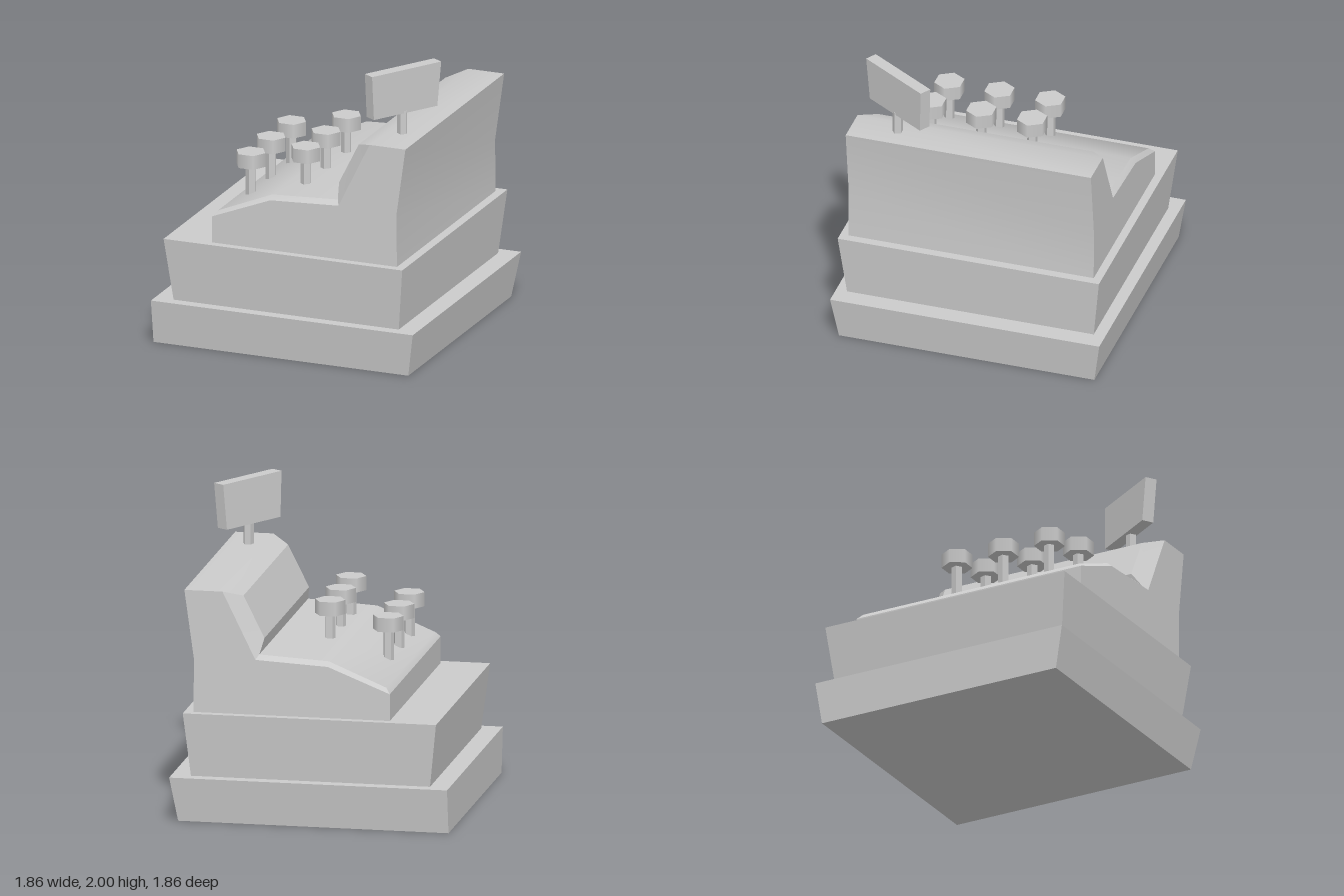
import * as THREE from 'three';
import { toCreasedNormals } from 'three/addons/utils/BufferGeometryUtils.js';

const material = new THREE.MeshStandardMaterial({ color: 0xcccccc });

function part(parent, name, geometry, x = 0, y = 0, z = 0) {
  const mesh = new THREE.Mesh(geometry, material);
  mesh.name = name;
  mesh.position.set(x, y, z);
  parent.add(mesh);
  return mesh;
}

// Tapered block; bottom and top are [x0, x1, z0, z1]
function taperedBlock(y0, y1, bottom, top) {
  const geometry = new THREE.BoxGeometry(1, 1, 1);
  const pos = geometry.attributes.position;
  for (let i = 0; i < pos.count; i++) {
    const up = pos.getY(i) > 0;
    const r = up ? top : bottom;
    pos.setXYZ(i, r[pos.getX(i) > 0 ? 1 : 0], up ? y1 : y0, r[pos.getZ(i) > 0 ? 3 : 2]);
  }
  geometry.computeVertexNormals();
  return geometry;
}

// Stepped housing: side profile with a chamfer that widens towards the riser
function housingGeometry() {
  const W = 0.845;
  const outer = [
    [-0.53, 0.73], [-0.53, 0.91], [-0.115, 1.075], [0.37, 1.1],
    [0.59, 1.55], [0.845, 1.55], [0.78, 1.08], [0.785, 0.73],
  ];
  const o = outer.map(([x, y]) => [x, y, W]);
  // Pairs of side-edge point and matching point on the inner, raised surface
  const pairs = [
    [o[0], o[0]], [o[1], o[1]],
    [o[1], [-0.5, 0.945, 0.81]],
    [o[2], [-0.115, 1.105, 0.81]],
    [o[3], [0.35, 1.13, 0.81]],
    [o[3], [0.33, 1.225, 0.74]],
    [o[4], [0.47, 1.505, 0.74]],
    [o[4], o[4]], [o[5], o[5]], [o[6], o[6]], [o[7], o[7]], [o[0], o[0]],
  ];
  const flip = ([x, y, z]) => [x, y, -z];
  const same = (a, b) => a.every((v, i) => v === b[i]);
  const verts = [];
  const tri = (a, b, c) => {
    if (!same(a, b) && !same(b, c) && !same(a, c)) verts.push(...a, ...b, ...c);
  };

  // Strips across the width
  const rows = pairs.map(([a, b]) => [a, b, flip(b), flip(a)]);
  for (let k = 0; k < rows.length - 1; k++) {
    for (let r = 0; r < 3; r++) {
      const [a, b, c, d] = [rows[k][r], rows[k + 1][r], rows[k + 1][r + 1], rows[k][r + 1]];
      tri(a, b, c);
      tri(a, c, d);
    }
  }

  // Flat sides
  const contour = outer.map(([x, y]) => new THREE.Vector2(x, y));
  for (const face of THREE.ShapeUtils.triangulateShape(contour, [])) {
    let [a, b, c] = face;
    if (THREE.ShapeUtils.area([contour[a], contour[b], contour[c]]) < 0) [b, c] = [c, b];
    tri(o[a], o[b], o[c]);
    tri(flip(o[a]), flip(o[c]), flip(o[b]));
  }

  const geometry = new THREE.BufferGeometry();
  geometry.setAttribute('position', new THREE.Float32BufferAttribute(verts, 3));
  return toCreasedNormals(geometry, 0.5);
}

// Thin post standing from y0 to y1
function postGeometry(height) {
  return toCreasedNormals(new THREE.CylinderGeometry(0.036, 0.036, height, 5), 0.5);
}

export function createModel() {
  const model = new THREE.Group();
  model.name = 'cashRegister';

  part(model, 'base', taperedBlock(0, 0.3, [-0.93, 0.88, -0.88, 0.88], [-0.93, 0.93, -0.93, 0.925]));
  part(model, 'drawer', taperedBlock(0.3, 0.73, [-0.8, 0.8, -0.85, 0.85], [-0.85, 0.845, -0.9, 0.9]));
  part(model, 'housing', housingGeometry());

  // Two rows of keys, the rear row higher
  const head = new THREE.CylinderGeometry(0.102, 0.102, 0.095, 6);
  head.rotateY(Math.PI / 6);
  const stem = postGeometry(0.24);
  for (const [x, y] of [[-0.385, 1.232], [0.005, 1.322]]) {
    for (const z of [-0.17, 0.18, 0.525]) {
      const key = new THREE.Group();
      key.name = 'key';
      key.position.set(x, y, z);
      part(key, 'keyHead', head);
      part(key, 'keyStem', stem, 0, -0.165, 0);
      model.add(key);
    }
  }

  // Angled display on its post
  part(model, 'displayPost', postGeometry(0.18), 0.695, 1.62, 0.535);
  const display = part(model, 'display',
    taperedBlock(1.695, 2, [-0.255, 0.255, -0.053, 0.029], [-0.278, 0.278, -0.041, 0.041]),
    0.6975, 0, 0.53);
  display.rotation.y = 1.01;

  return model;
}
